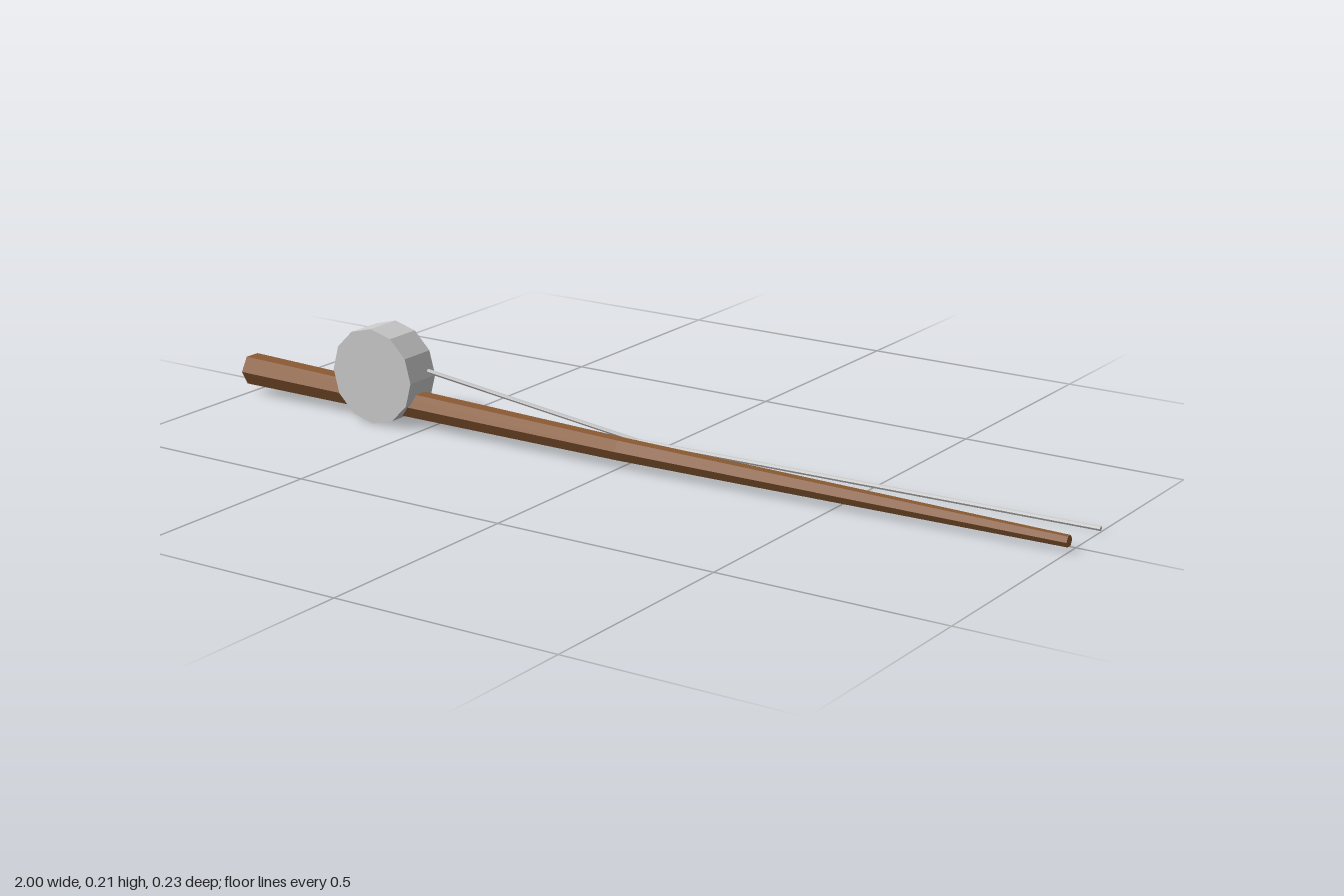
import * as THREE from 'three';

// Lofts a polygonal rod with capped ends through stations [x, y, z, radius] running along +x.
function loft(stations, sides) {
  const pos = [], index = [];
  for (const [x, y, z, r] of stations) {
    for (let i = 0; i < sides; i++) {
      const a = (i / sides) * Math.PI * 2;
      pos.push(x, y + r * Math.sin(a), z + r * Math.cos(a));
    }
  }
  const last = (stations.length - 1) * sides;
  for (let s = 0; s < last; s += sides) {
    for (let i = 0; i < sides; i++) {
      const j = (i + 1) % sides;
      const a = s + i, b = s + j, c = a + sides, d = b + sides;
      index.push(a, c, b, b, c, d);
    }
  }
  for (let i = 1; i < sides - 1; i++) {
    index.push(0, i, i + 1, last, last + i + 1, last + i);
  }
  const g = new THREE.BufferGeometry();
  g.setAttribute('position', new THREE.Float32BufferAttribute(pos, 3));
  g.setIndex(index);
  const flat = g.toNonIndexed();
  flat.computeVertexNormals();
  return flat;
}

export function createModel() {
  const model = new THREE.Group();
  model.name = 'fishingRod';

  const wood = new THREE.MeshStandardMaterial({ color: 0x8b5a33, flatShading: true });
  const metal = new THREE.MeshStandardMaterial({ color: 0xcccccc, flatShading: true, side: THREE.DoubleSide });

  const add = (parent, name, geometry, material) => {
    const mesh = new THREE.Mesh(geometry, material);
    mesh.name = name;
    parent.add(mesh);
    return mesh;
  };

  // Tapered hexagonal pole, slightly bent in the middle
  add(model, 'pole', loft([
    [-1, 0.053, 0.072, 0.036],
    [0, 0.04, 0.073, 0.025],
    [1, 0.022, 0.03, 0.0125],
  ], 6), wood);

  // Reel drum: closed at the front, open at the back
  const reel = new THREE.Group();
  reel.name = 'reel';
  reel.position.set(-0.62, 0.106, 0.074);
  const radius = 0.106, depth = 0.086, sides = 12;
  const wall = new THREE.CylinderGeometry(radius, radius, depth, sides, 1, true);
  wall.rotateX(Math.PI / 2);
  add(reel, 'reelWall', wall, metal);
  const face = add(reel, 'reelFace', new THREE.CircleGeometry(radius, sides), metal);
  face.position.z = depth / 2;
  model.add(reel);

  // Thin line running out from inside the reel
  add(model, 'line', loft([
    [-0.63, 0.144, 0.077, 0.005],
    [-0.05, 0.012, -0.066, 0.005],
    [1, 0.007, -0.11, 0.005],
  ], 6), metal);

  return model;
}
